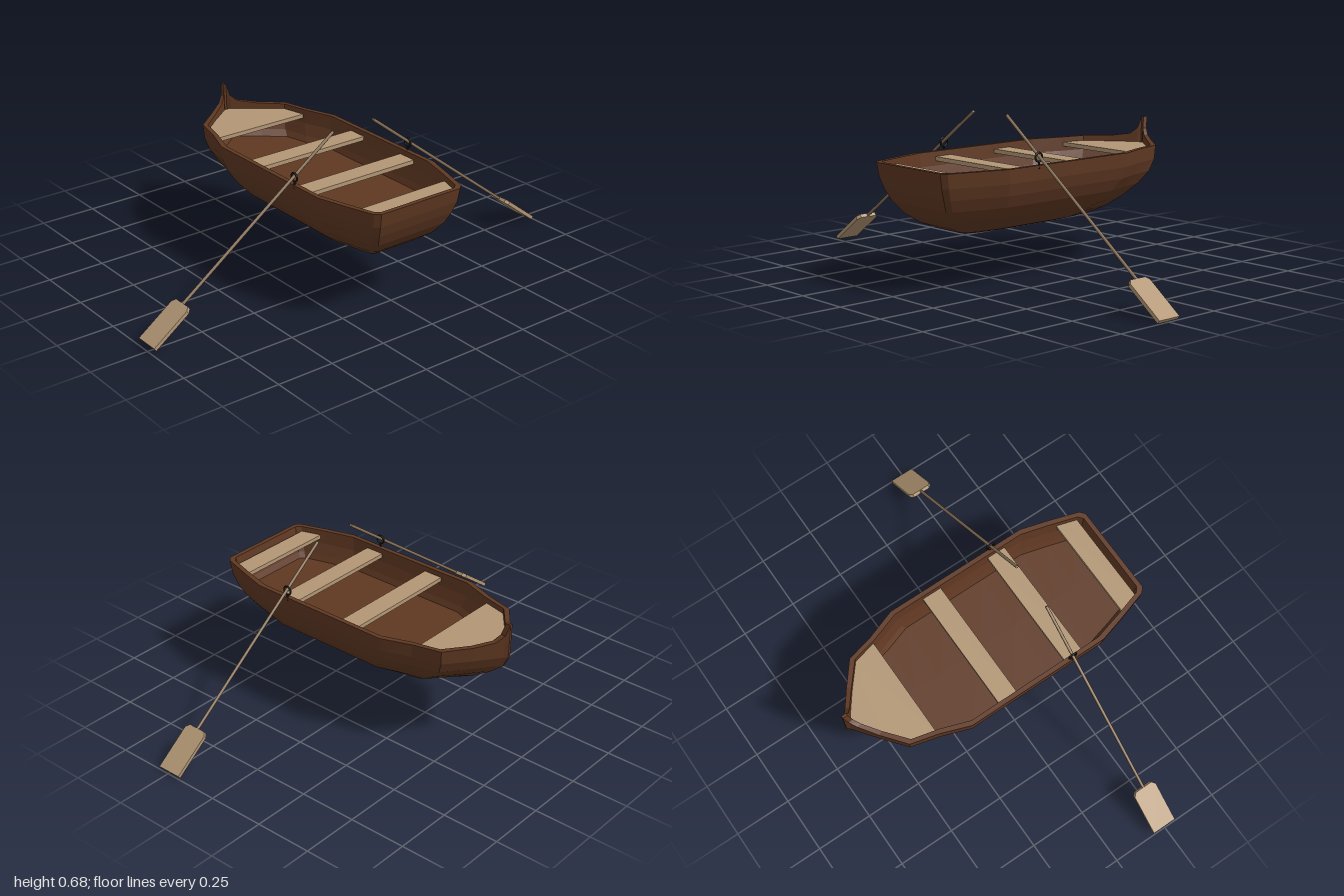
import * as THREE from 'three';

const HULL = new THREE.MeshStandardMaterial({ color: 0x5f3822, flatShading: true });
const WOOD = new THREE.MeshStandardMaterial({ color: 0xb29674, flatShading: true });
const SHAFT = new THREE.MeshStandardMaterial({ color: 0x8b7358 });
const IRON = new THREE.MeshStandardMaterial({ color: 0x1c1a18 });

// Half outline of the gunwale from bow to stern: x, half width, rise of the rim
const OUTLINE = [
  [-0.67, 0.006, 0.09], [-0.655, 0.018, 0.04], [-0.635, 0.045, 0.015], [-0.58, 0.12, 0.003],
  [-0.5, 0.22, 0], [-0.38, 0.25, 0], [-0.25, 0.297, 0], [-0.03, 0.297, 0], [0.18, 0.297, 0],
  [0.4, 0.297, 0], [0.53, 0.26, 0], [0.65, 0.222, 0], [0.668, 0.2, 0],
];
// Hull levels from keel to rim: height, bow end, stern end
const LEVELS = [
  [0.203, -0.15, 0.2], [0.21, -0.26, 0.38], [0.225, -0.34, 0.46], [0.25, -0.42, 0.52],
  [0.29, -0.5, 0.575], [0.34, -0.58, 0.615], [0.39, -0.64, 0.64], [0.44, -0.665, 0.658],
  [0.5, -0.67, 0.668],
];
const FLOOR_Y = 0.365;

// Closed outline at one level, fitted between the bow and stern ends
function ring([y, bow, stern], inset = 0, flat = false) {
  const widthScale = flat ? 0 : Math.sqrt(Math.max(0, 1 - ((0.5 - y) / 0.297) ** 2));
  const half = OUTLINE.map(([x, w, rise]) => {
    const t = (x + 0.67) / 1.338;
    return new THREE.Vector3(
      THREE.MathUtils.lerp(bow + inset * 1.1, stern - inset, t),
      y + (y === 0.5 ? rise : 0),
      w * widthScale * (1 - inset * 3.4));
  });
  const mirrored = half.slice().reverse().map((p) => new THREE.Vector3(p.x, p.y, -p.z));
  return [...half, ...mirrored];
}

function loft(loops) {
  const n = loops[0].length;
  const index = [];
  for (let j = 0; j < loops.length - 1; j++) {
    for (let i = 0; i < n; i++) {
      const k = (i + 1) % n;
      const a = j * n + i, b = j * n + k, c = (j + 1) * n + k, d = (j + 1) * n + i;
      index.push(a, b, c, a, c, d);
    }
  }
  const indexed = new THREE.BufferGeometry().setFromPoints(loops.flat());
  indexed.setIndex(index);
  const geometry = indexed.toNonIndexed();
  geometry.computeVertexNormals();
  return geometry;
}

function addMesh(parent, name, geometry, material) {
  const mesh = new THREE.Mesh(geometry, material);
  mesh.name = name;
  parent.add(mesh);
  return mesh;
}

// Horizontal board from half of its outline, mirrored across the centre line
function board(half, thickness) {
  const points = [...half, ...half.slice().reverse().map(([x, z]) => [x, -z])];
  const shape = new THREE.Shape(points.map(([x, z]) => new THREE.Vector2(x, z)));
  return new THREE.ExtrudeGeometry(shape, { depth: thickness, bevelEnabled: false })
    .rotateX(Math.PI / 2);
}

// Oar from grip to blade tip, with the blade lying across the boat's length
function makeOar(name, grip, tip) {
  const oar = new THREE.Group();
  oar.name = name;
  const length = grip.distanceTo(tip);
  const shaftLength = length - 0.19;
  const shaft = addMesh(oar, 'oarShaft',
    new THREE.CylinderGeometry(0.0065, 0.0065, shaftLength, 10), SHAFT);
  shaft.position.y = -shaftLength / 2;

  const top = -length + 0.205;
  const corners = [[-0.054, -length], [0.054, -length], [0.054, top - 0.017], [0.04, top],
    [-0.04, top], [-0.054, top - 0.017]];
  const blade = new THREE.ExtrudeGeometry(
    new THREE.Shape(corners.map(([x, y]) => new THREE.Vector2(x, y))),
    { depth: 0.016, bevelEnabled: false });
  addMesh(oar, 'oarBlade', blade.translate(0, 0, -0.008), WOOD);

  const down = tip.clone().sub(grip);
  oar.rotation.x = Math.atan2(-down.z, -down.y);
  oar.position.copy(grip);
  return oar;
}

export function createModel() {
  const boat = new THREE.Group();
  boat.name = 'rowingBoat';

  // Hull: outside up from the keel, over the rim, down the inside and across the floor
  const floor = [FLOOR_Y, -0.61, 0.628];
  const inside = [LEVELS[8], LEVELS[7], LEVELS[6], floor].map((level) => ring(level, 0.02));
  const loops = [...LEVELS.map((level, i) => ring(level, 0, i === 0)), ...inside,
    ring(floor, 0.02, true)];
  addMesh(boat, 'hull', loft(loops), HULL);

  // Seats
  const seats = {
    bowSeat: [[-0.635, 0.012], [-0.56, 0.118], [-0.49, 0.208], [-0.38, 0.236]],
    frontSeat: [[-0.105, 0.278], [-0.017, 0.278]],
    middleSeat: [[0.22, 0.278], [0.305, 0.278]],
    sternSeat: [[0.54, 0.238], [0.628, 0.21]],
  };
  for (const [name, half] of Object.entries(seats)) {
    addMesh(boat, name, board(half, 0.018), WOOD).position.y = 0.478;
  }

  // Oars and their locks
  const x = 0.245;
  boat.add(makeOar('leftOar', new THREE.Vector3(x, 0.677, 0.1), new THREE.Vector3(x, 0.027, 0.995)));
  boat.add(makeOar('rightOar', new THREE.Vector3(x, 0.68, -0.105), new THREE.Vector3(x, 0.007, -0.995)));
  for (const side of [1, -1]) {
    const lock = new THREE.Group();
    lock.name = side > 0 ? 'frontOarlock' : 'rearOarlock';
    addMesh(lock, 'oarlockRing', new THREE.TorusGeometry(0.018, 0.004, 8, 20), IRON);
    addMesh(lock, 'oarlockPin', new THREE.CylinderGeometry(0.004, 0.004, 0.03, 8), IRON)
      .position.y = -0.032;
    lock.position.set(x, 0.532, side * 0.293);
    boat.add(lock);
  }
  return boat;
}
